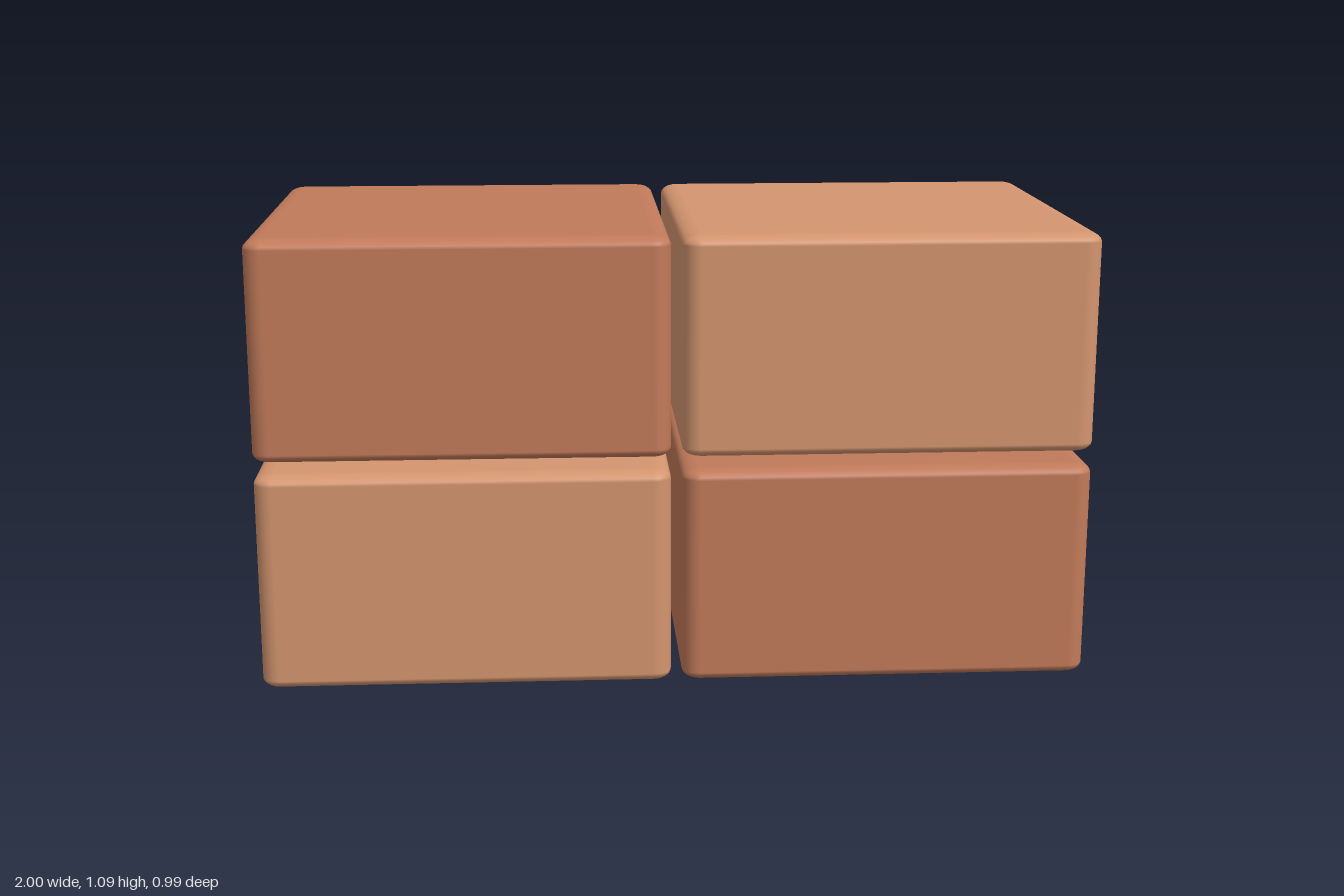
import * as THREE from 'three';
import { RoundedBoxGeometry } from 'three/addons/geometries/RoundedBoxGeometry.js';

const WIDTH = 0.987, HEIGHT = 0.53, DEPTH = 0.987;
const LEVEL = 0.56; // block height plus joint

export function createModel() {
  const group = new THREE.Group();
  group.name = 'brickStack';

  const light = new THREE.MeshStandardMaterial({ color: 0xd4956f });
  const dark = new THREE.MeshStandardMaterial({ color: 0xc17a5a });

  // Rounded cube squashed to block height, so its edges flatten with it
  const geometry = new RoundedBoxGeometry(1, 1, 1, 3, 0.044);
  geometry.scale(WIDTH, HEIGHT, DEPTH);

  // Two courses of two blocks in a checker of light and dark clay
  ['lower', 'upper'].forEach((course, row) => {
    ['Right', 'Left'].forEach((side, col) => {
      const brick = new THREE.Mesh(geometry, row === col ? light : dark);
      brick.name = `${course}${side}Brick`;
      brick.position.set((col * 2 - 1) * (1 - WIDTH / 2), HEIGHT / 2 + row * LEVEL, 0);
      group.add(brick);
    });
  });

  return group;
}
